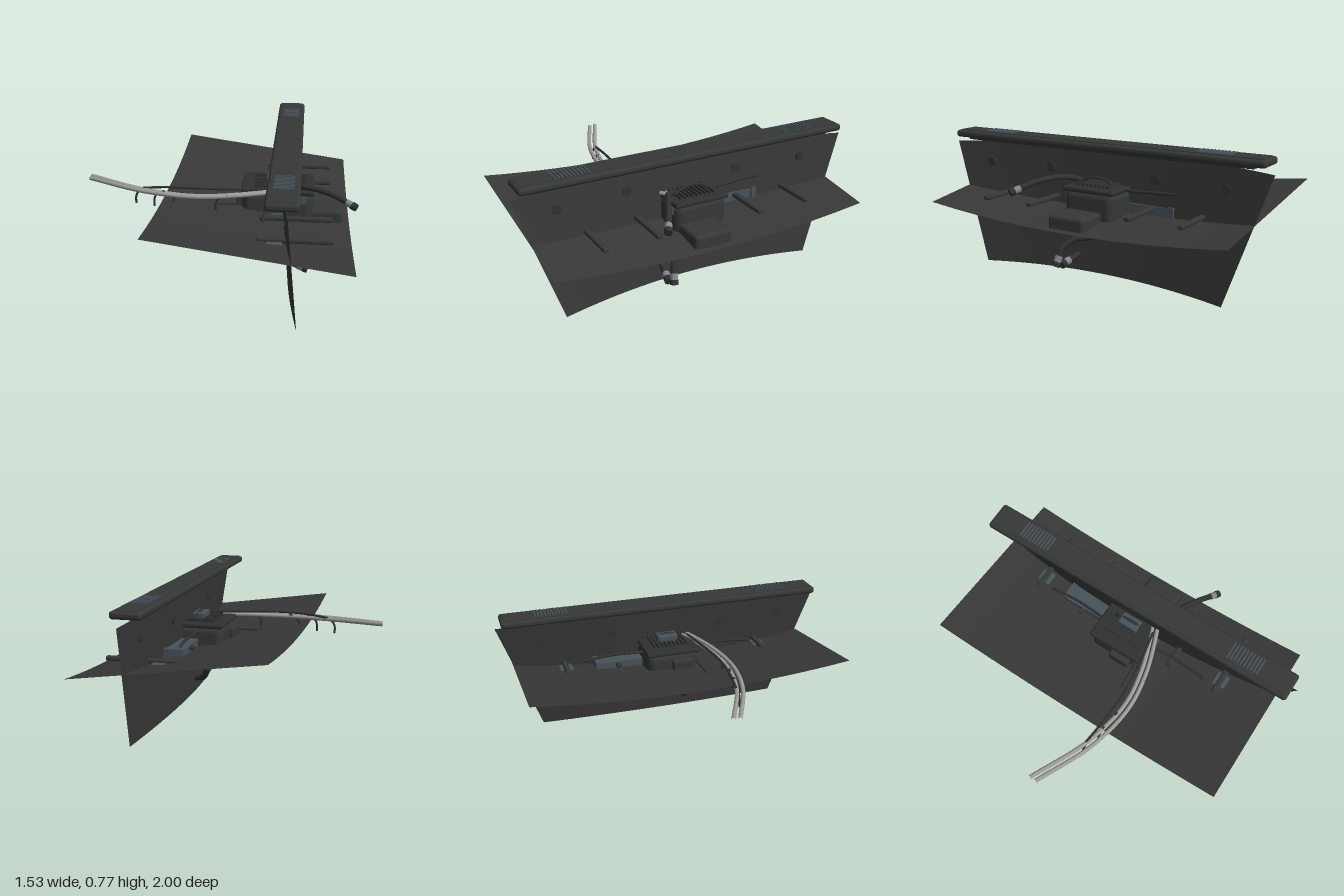
import * as THREE from 'three';
import { RoundedBoxGeometry } from 'three/addons/geometries/RoundedBoxGeometry.js';

const mat = (name, color, side = THREE.FrontSide) => {
  const m = new THREE.MeshStandardMaterial({ color, side });
  m.name = name;
  return m;
};

export function createModel() {
  const model = new THREE.Group();
  const sheetMat = mat('charcoal sheet', 0x383838, THREE.DoubleSide);
  const plastic = mat('dark plastic', 0x363838);
  const rubber = mat('dark rubber', 0x303232);
  const steel = mat('blue grey metal', 0x48535a);
  const pale = mat('pale cable', 0x9c9c98);
  const silver = mat('connector metal', 0x85868a);

  const add = (name, geo, material, x = 0, y = 0, z = 0, parent = model) => {
    const mesh = new THREE.Mesh(geo, material);
    mesh.name = name;
    mesh.position.set(x, y, z);
    parent.add(mesh);
    return mesh;
  };
  const box = (name, m, x0, x1, y0, y1, z0, z1, r = 0) => {
    const size = [x1 - x0, y1 - y0, z1 - z0];
    const geo = r ? new RoundedBoxGeometry(...size, 3, r) : new THREE.BoxGeometry(...size);
    return add(name, geo, m, (x0 + x1) / 2, (y0 + y1) / 2, (z0 + z1) / 2);
  };
  const curveOf = (pts) => new THREE.CatmullRomCurve3(pts.map((p) => new THREE.Vector3(...p)));
  const cable = (name, m, r, pts) => {
    const geo = new THREE.TubeGeometry(curveOf(pts), 32, r, 10);
    return add(name, geo, m);
  };
  // cylinder joining two points
  const link = (name, m, r, a, b) => {
    const p = new THREE.Vector3(...a), q = new THREE.Vector3(...b);
    const d = q.clone().sub(p);
    const mesh = add(name, new THREE.CylinderGeometry(r, r, d.length(), 12), m);
    mesh.position.copy(p).add(q).multiplyScalar(0.5);
    mesh.quaternion.setFromUnitVectors(new THREE.Vector3(0, 1, 0), d.normalize());
    return mesh;
  };
  // bowed sheet: rule takes s in -1..1 along z and t in 0..1 across
  const sheet = (name, rule) => {
    const geo = new THREE.PlaneGeometry(2, 1, 40, 6);
    const p = geo.attributes.position;
    for (let i = 0; i < p.count; i++) p.setXYZ(i, ...rule(p.getX(i), p.getY(i) + 0.5));
    geo.computeVertexNormals();
    return add(name, geo, sheetMat);
  };

  // crossing sheets
  const panelX = (s, t) => 0.39 - 0.055 * t + 0.067 * s * s;
  sheet('uprightPanel', (s, t) => [
    panelX(s, t),
    0.035 + 0.7 * t - (0.027 + 0.01 * t) * s * s,
    s * (0.76 + 0.24 * t),
  ]);
  sheet('slopingSheet', (s, t) => [
    -0.31 + 1.04 * t, 0.49 - 0.145 * t + 0.056 * s * s, 0.915 * s,
  ]);

  // top rail with ribbed grips
  box('topRail', plastic, 0.29, 0.455, 0.732, 0.772, -0.97, 0.97, 0.017);
  box('railCap', plastic, 0.31, 0.43, 0.765, 0.775, -0.95, 0.95);
  box('railKeel', rubber, 0.375, 0.42, 0.718, 0.735, -0.9, 0.9, 0.006);
  for (const side of [-1, 1]) {
    for (let i = 0; i < 10; i++) {
      const z = side * (0.59 + i * 0.02);
      box('gripRib', steel, 0.325, 0.425, 0.77, 0.781, z - 0.004, z + 0.004);
    }
  }

  // round plugs on the panel
  for (const z of [0.76, 0.355, -0.32, -0.74]) {
    const plug = add('plug', new THREE.CylinderGeometry(0.026, 0.026, 0.012, 24), rubber,
      panelX(z / 0.95, 0.8), 0.595, z);
    plug.rotation.z = Math.PI / 2;
  }

  // cross pegs and their clamps
  for (const z of [-0.615, -0.31, 0.305, 0.605]) {
    box('crossPeg', plastic, 0.235, 0.63, 0.428, 0.452, z - 0.016, z + 0.016, 0.008);
    if (Math.abs(z) > 0.5) box('pegClamp', steel, 0.285, 0.37, 0.41, 0.436, z - 0.04, z + 0.04, 0.008);
  }

  // central housing
  box('housing', plastic, 0.125, 0.525, 0.31, 0.53, -0.16, 0.152, 0.045);
  box('housingLid', rubber, 0.12, 0.53, 0.515, 0.542, -0.165, 0.156, 0.01);
  box('outerMotor', plastic, 0.5, 0.692, 0.335, 0.422, -0.09, 0.132, 0.02);
  box('innerCap', plastic, 0.092, 0.15, 0.38, 0.49, -0.015, 0.11, 0.01);
  box('frontBadgePlate', steel, 0.45, 0.49, 0.47, 0.51, 0.15, 0.159);

  // cooling fins and arch over the housing
  for (let i = 0; i < 9; i++) {
    const z = -0.1 + i * 0.025;
    box('coolingFin', rubber, 0.19, 0.48, 0.54, 0.556, z - 0.005, z + 0.005);
  }
  box('finBlock', steel, 0.258, 0.33, 0.54, 0.583, -0.06, 0.06, 0.006);
  for (const x of [0.3, 0.42]) {
    const arch = add('arch', new THREE.TorusGeometry(0.1, 0.01, 8, 24, Math.PI), rubber, x, 0.535, 0);
    arch.rotation.y = Math.PI / 2;
    arch.scale.y = 0.5;
  }

  // metal brackets along the panel
  box('sideBracket', steel, 0.265, 0.375, 0.405, 0.455, -0.42, -0.15);
  box('bracketEnd', steel, 0.265, 0.385, 0.4, 0.462, -0.445, -0.415);
  box('lowerBracket', steel, 0.3, 0.4, 0.305, 0.332, -0.285, -0.14);
  box('hangingPlate', steel, 0.262, 0.355, 0.26, 0.41, 0.1, 0.175);

  // pale cable pair
  cable('paleCable', pale, 0.012, [[0.4, 0.535, 0.1], [0.3, 0.535, 0.14], [0.1, 0.53, 0.205],
    [-0.13, 0.525, 0.235], [-0.42, 0.532, 0.18], [-0.76, 0.552, 0.032]]);
  cable('paleCable', pale, 0.012, [[0.4, 0.54, 0.13], [0.3, 0.54, 0.17], [0.1, 0.535, 0.235],
    [-0.13, 0.53, 0.265], [-0.42, 0.535, 0.215], [-0.76, 0.55, 0.068]]);

  // thin harness with hanging ends
  cable('harness', rubber, 0.007, [[0.32, 0.55, 0.14], [0.1, 0.552, 0.18], [-0.12, 0.558, 0.2],
    [-0.3, 0.555, 0.19], [-0.43, 0.54, 0.175]]);
  for (const [x, z] of [[-0.47, 0.18], [-0.36, 0.21], [-0.25, 0.225], [-0.01, 0.25], [0.19, 0.2]]) {
    const top = x > 0.1 ? 0.4 : 0.54;
    cable('hangingWire', rubber, 0.006, [[x + 0.06, top, z], [x + 0.015, top - 0.02, z], [x, top - 0.05, z],
      [x, top - (x > 0.1 ? 0.16 : 0.09), z]]);
  }
  cable('lowWire', rubber, 0.006, [[-0.24, 0.445, 0.16], [-0.05, 0.45, 0.15], [0.13, 0.455, 0.14]]);
  cable('panelWire', rubber, 0.008, [[0.4, 0.55, -0.08], [0.38, 0.525, -0.2], [0.38, 0.53, -0.33], [0.385, 0.535, -0.46]]);
  for (const side of [-1, 1]) {
    cable('rearWire', rubber, 0.008, [[0.26, 0.5, side * 0.15], [0.27, 0.5, side * 0.35], [0.26, 0.49, side * 0.52]]);
  }

  // thick leads ending in connectors
  const lead = (r, pts) => {
    cable('lead', rubber, r, pts);
    const [a, b] = pts.slice(-2).map((p) => new THREE.Vector3(...p));
    const dir = b.clone().sub(a).normalize();
    const at = (k) => b.clone().addScaledVector(dir, k).toArray();
    link('connectorCollar', silver, r * 1.2, at(-0.012), at(0.022));
    link('connectorTip', rubber, r * 1.3, at(0.022), at(0.05));
  };
  lead(0.016, [[0.4, 0.55, 0.08], [0.45, 0.575, 0.16], [0.54, 0.58, 0.21], [0.64, 0.565, 0.265], [0.71, 0.54, 0.305]]);
  lead(0.018, [[0.29, 0.32, 0.02], [0.285, 0.22, 0.06], [0.32, 0.145, 0.12], [0.39, 0.12, 0.16], [0.46, 0.1, 0.175]]);
  lead(0.018, [[0.38, 0.31, -0.08], [0.42, 0.255, 0.02], [0.48, 0.235, 0.12], [0.525, 0.19, 0.165], [0.545, 0.14, 0.175]]);
  lead(0.013, [[0.3, 0.41, 0.15], [0.25, 0.4, 0.18], [0.205, 0.385, 0.19]]);
  lead(0.014, [[0.22, 0.33, 0.08], [0.19, 0.31, 0.1], [0.178, 0.29, 0.11]]);

  return model;
}
